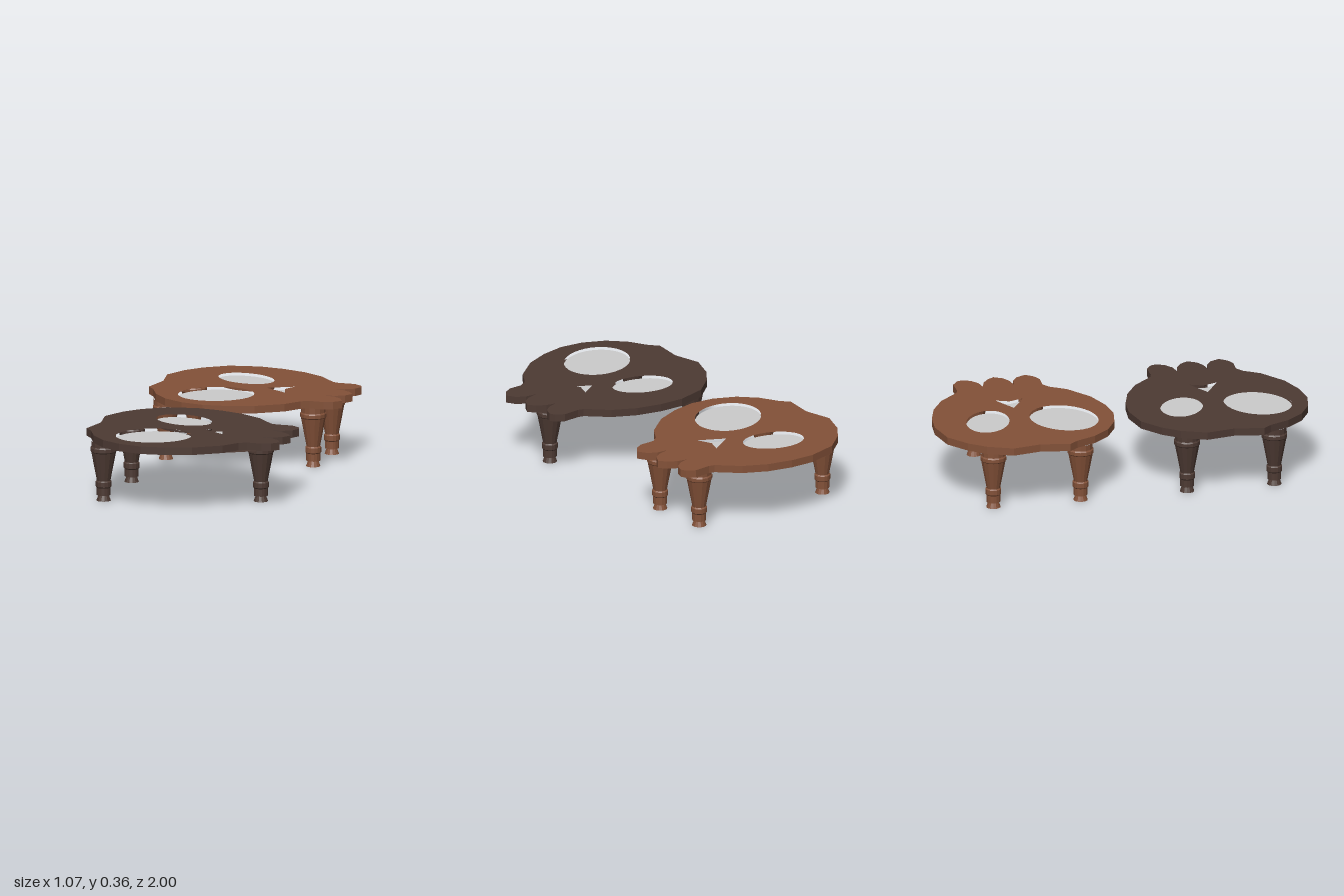
import * as THREE from 'three';

const BOTTOM = 0.32, TOP = 0.36;

// Tabletop outline as [x, z] about the table centre
const OUTLINE = [
  [-.13, -.48], [0, -.465], [.13, -.425], [.25, -.355], [.32, -.28], [.35, -.25], [.38, -.24],
  [.47, -.24], [.515, -.21], [.525, -.18], [.505, -.135], [.46, -.105], [.405, -.095],
  [.46, -.08], [.505, -.05], [.533, -.01], [.505, .035], [.46, .06], [.4, .07],
  [.46, .08], [.505, .11], [.53, .16], [.495, .2], [.45, .22], [.37, .215],
  [.33, .24], [.27, .325], [.135, .42], [0, .465], [-.13, .48], [-.255, .455],
  [-.365, .395], [-.445, .305], [-.495, .2], [-.533, .155], [-.505, 0], [-.533, -.15],
  [-.475, -.28], [-.405, -.365], [-.29, -.45],
];
const NOSE = [[.06, -.01], [.19, -.08], [.16, -.01], [.19, .07]];

// Underside web that spans part of the openings and the jaw corner
const WEB = [
  [.53, .16], [.28, .31], [.13, .4], [-.13, .41], [-.13, .05], [-.03, -.07], [-.17, -.33],
  [.02, -.35], [.17, -.2], [.2, -.05], [.16, -.01], [.2, .09], [.4, .12],
];

// Leg profile as [radius, y]
const LEG = [
  [0, 0], [.038, 0], [.027, .03], [.037, .03], [.037, .07], [.042, .076], [.042, .102],
  [.036, .108], [.065, .26], [.069, .265], [.069, .283], [.064, .29], [.064, BOTTOM],
];

function ellipse(cx, cz, a, b, tilt) {
  const points = [];
  for (let i = 0; i < 36; i++) {
    const t = (i / 36) * Math.PI * 2;
    const u = a * Math.cos(t), v = b * Math.sin(t);
    points.push([
      cx + u * Math.cos(tilt) - v * Math.sin(tilt),
      cz + u * Math.sin(tilt) + v * Math.cos(tilt),
    ]);
  }
  return points;
}

const toVectors = (points) => points.map(([x, z]) => new THREE.Vector2(x, -z));

// Horizontal slab from an [x, z] outline
function slab(points, y, height, holes = []) {
  const shape = new THREE.Shape(toVectors(points));
  shape.holes = holes.map((hole) => new THREE.Path(toVectors(hole)));
  const geometry = new THREE.ExtrudeGeometry(shape, { depth: height, bevelEnabled: false });
  return geometry.rotateX(-Math.PI / 2).translate(0, y, 0);
}

function addMesh(group, name, geometry, material) {
  const mesh = new THREE.Mesh(geometry, material);
  mesh.name = name;
  group.add(mesh);
  return mesh;
}

function createTable(name, color, z, legSpots) {
  const table = new THREE.Group();
  table.name = name;
  table.position.z = z;
  const wood = new THREE.MeshStandardMaterial({ color, flatShading: true });
  const grey = new THREE.MeshStandardMaterial({ color: 0xcccccc });

  // Tabletop with inset panels for the eyes and nose
  const openings = {
    smallEyePanel: ellipse(-.11, -.19, .165, .112, .36),
    largeEyePanel: ellipse(-.145, .21, .2, .168, -.43),
    nosePanel: NOSE,
  };
  addMesh(table, 'tabletop', slab(OUTLINE, BOTTOM, TOP - BOTTOM, Object.values(openings)), wood);
  for (const [panel, points] of Object.entries(openings)) {
    addMesh(table, panel, slab(points, .33, .015), grey);
  }

  // Turned legs
  const legGeometry = new THREE.LatheGeometry(LEG.map(([r, y]) => new THREE.Vector2(r, y)), 14);
  for (const [x, legZ] of legSpots) {
    addMesh(table, 'leg', legGeometry, wood).position.set(x, 0, legZ);
  }
  return table;
}

export function createModel() {
  const model = new THREE.Group();
  model.name = 'skullTables';

  const backLegs = [[-.413, -.232], [-.413, .236]];
  const brown = createTable('brownTable', 0x835138, -.52, [...backLegs, [.372, -.152], [.372, .158]]);
  const dark = createTable('darkTable', 0x4d3a33, .52, [...backLegs, [.372, -.007]]);

  // Flat web under the dark table
  const webMaterial = new THREE.MeshStandardMaterial({ color: 0x4d3a33, side: THREE.DoubleSide });
  const web = new THREE.ShapeGeometry(new THREE.Shape(toVectors(WEB)));
  web.rotateX(-Math.PI / 2).translate(0, BOTTOM - .001, 0);
  addMesh(dark, 'undersideWeb', web, webMaterial);

  model.add(brown, dark);
  return model;
}
